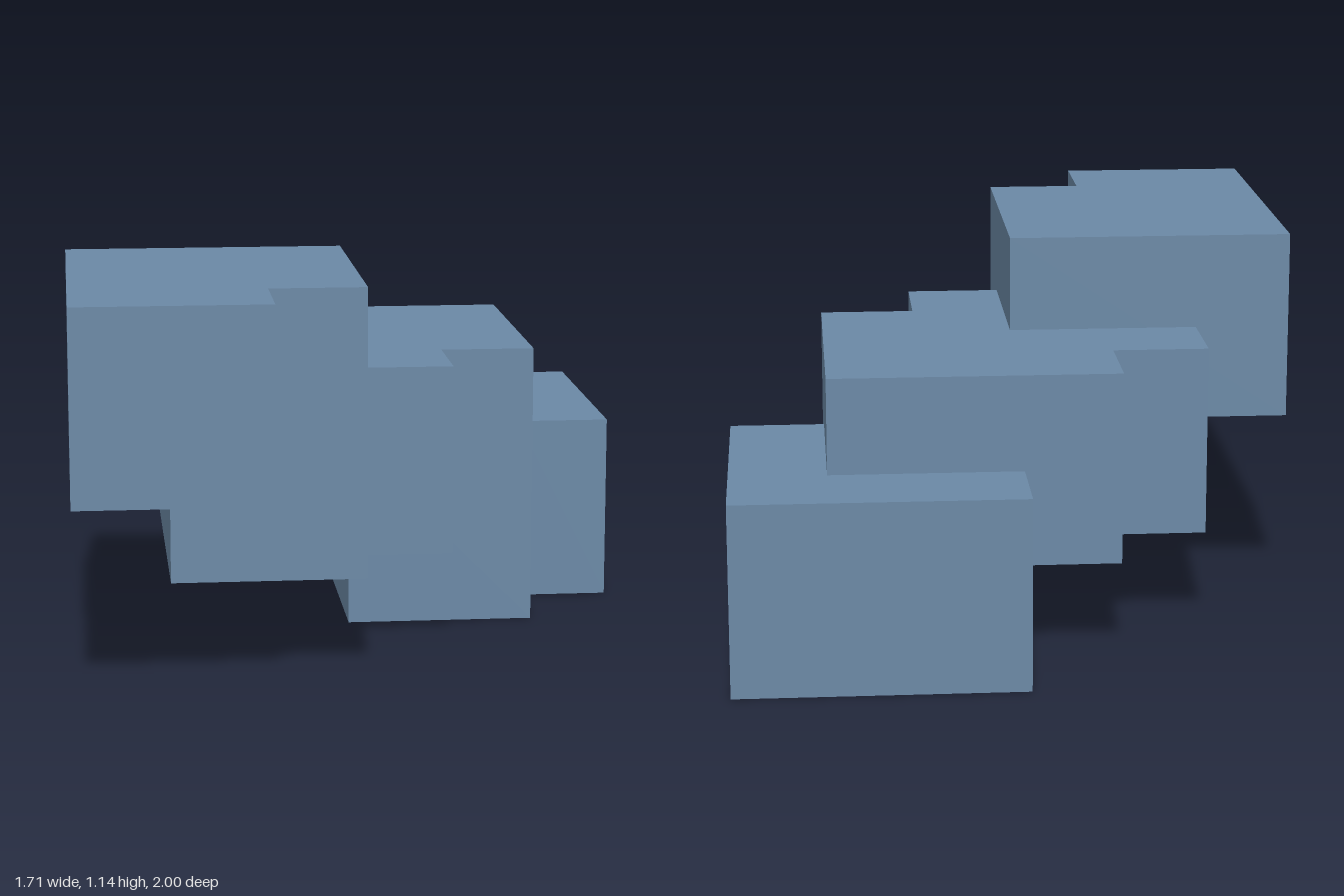
import * as THREE from 'three';

const U = 2 / 7; // modular unit: the model is seven units deep

// Notched block: 3 wide, 4 deep, 2 high, with the front right corner cut out.
// Its back left bottom corner sits at the origin.
function notchedBlockGeometry() {
  const outline = [[0, 0], [3, 0], [3, 3], [2, 3], [2, 4], [0, 4]];
  const shape = new THREE.Shape(outline.map(([x, z]) => new THREE.Vector2(x * U, -z * U)));
  const geometry = new THREE.ExtrudeGeometry(shape, { depth: 2 * U, bevelEnabled: false });
  geometry.rotateX(-Math.PI / 2);
  return geometry;
}

export function createModel() {
  const model = new THREE.Group();
  model.name = 'steppedBlocks';
  const slateBlue = new THREE.MeshStandardMaterial({ color: 0x6b89a6 });
  slateBlue.name = 'slateBlue';
  const geometry = notchedBlockGeometry();

  // Four identical blocks stepping diagonally down to the back, in units
  const blocks = [
    ['topBlock', -3, 2, -0.5],
    ['upperMiddleBlock', -2, 1, -1.5],
    ['lowerMiddleBlock', -1, 1, -2.5],
    ['bottomBlock', 0, 0, -3.5],
  ];
  for (const [name, x, y, z] of blocks) {
    const block = new THREE.Mesh(geometry, slateBlue);
    block.name = name;
    block.position.set(x * U, y * U, z * U);
    model.add(block);
  }
  return model;
}
